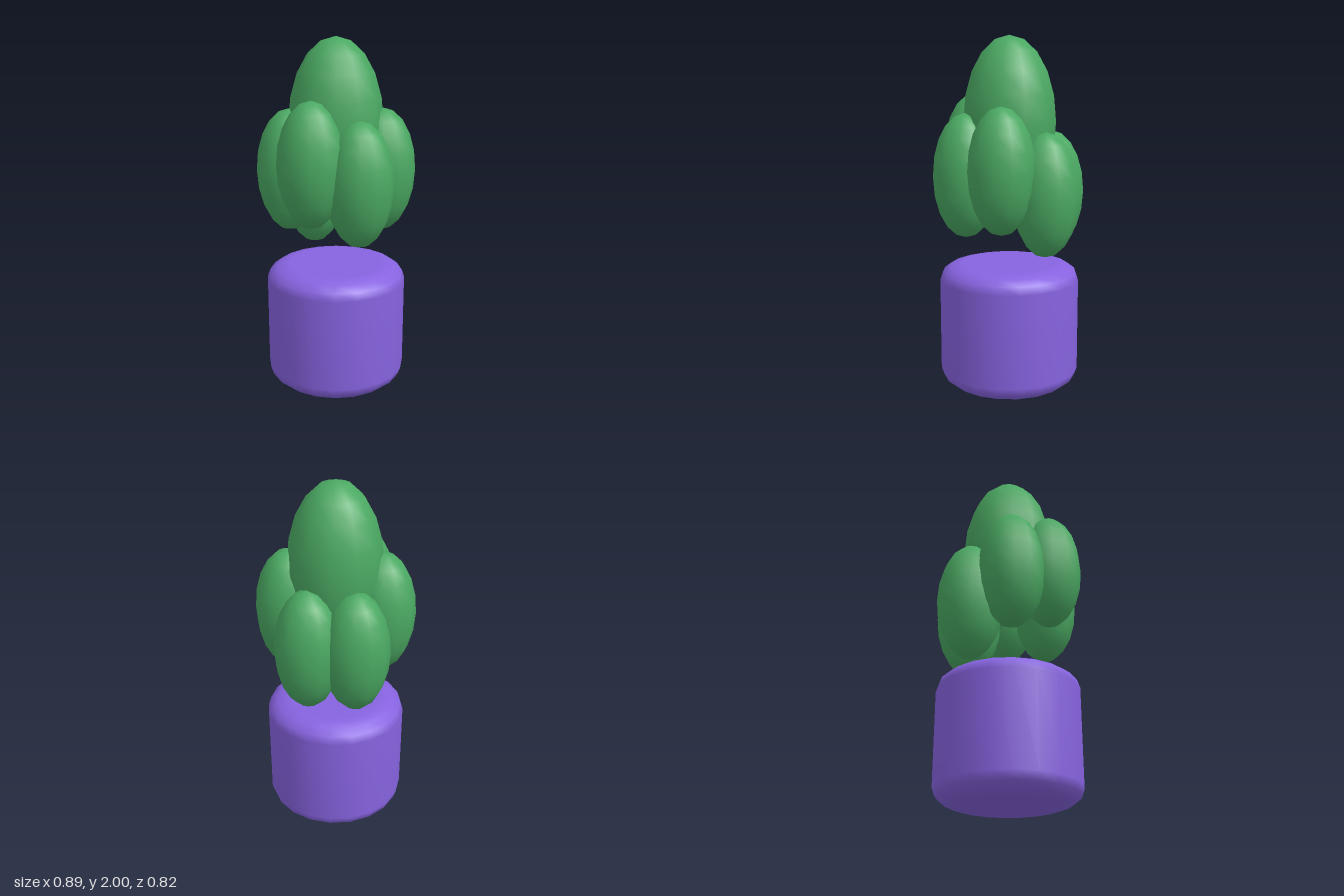
import * as THREE from 'three';

export function createModel() {
  const group = new THREE.Group();
  const leafGreen = new THREE.MeshStandardMaterial({ color: 0x4aa862 });
  leafGreen.name = 'leaf green';
  const potPurple = new THREE.MeshStandardMaterial({ color: 0x8763e0 });
  potPurple.name = 'pot purple';

  // Pot: a solid drum with softly rounded rims
  const profile = [
    [0, 0], [0.27, 0], [0.3, 0.006], [0.345, 0.022], [0.385, 0.055], [0.4, 0.1],
    [0.4, 0.625], [0.385, 0.67], [0.345, 0.7], [0.3, 0.713], [0.27, 0.717], [0, 0.717],
  ].map(([r, y]) => new THREE.Vector2(r, y));
  const pot = new THREE.Mesh(new THREE.LatheGeometry(profile, 20), potPurple);
  pot.name = 'pot';
  group.add(pot);

  // Leaves: tall smooth ellipsoids sharing one sphere
  const sphere = new THREE.SphereGeometry(1, 12, 10);
  function addLeaf(name, x, y, z, radius, halfHeight) {
    const leaf = new THREE.Mesh(sphere, leafGreen);
    leaf.name = name;
    leaf.position.set(x, y, z);
    leaf.scale.set(radius, halfHeight, radius);
    group.add(leaf);
  }

  addLeaf('crownLeaf', 0, 1.525, 0, 0.264, 0.475);

  // Ring of six lower leaves at uneven heights, starting at +x and turning to +z
  const heights = [1.27, 1.23, 1.335, 1.265, 1.125, 1.13];
  heights.forEach((y, i) => {
    const a = (i * Math.PI) / 3;
    addLeaf('lowerLeaf' + (i + 1), 0.258 * Math.cos(a), y, 0.258 * Math.sin(a), 0.188, 0.347);
  });

  return group;
}
